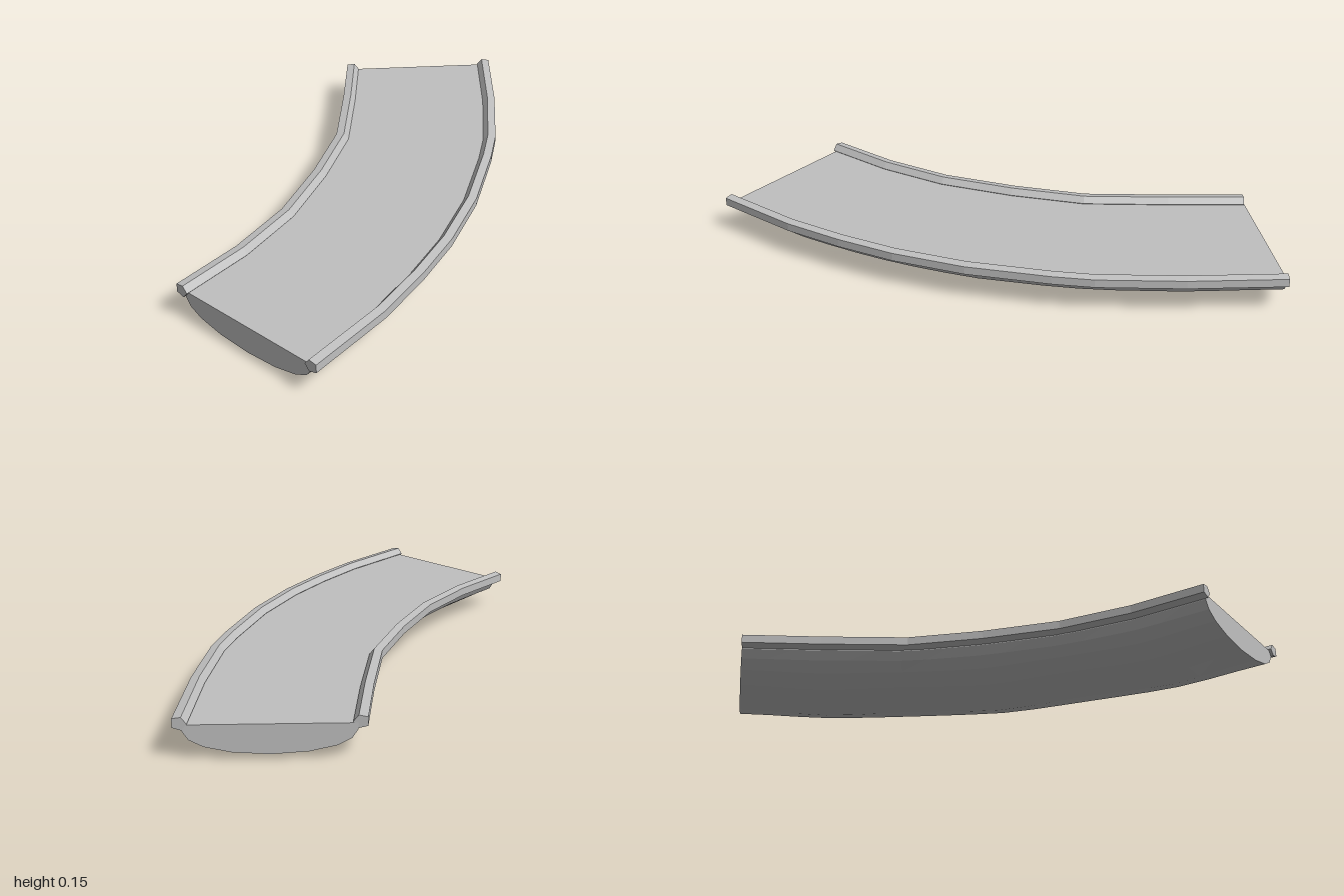
import * as THREE from 'three';

const grey = new THREE.MeshStandardMaterial({ color: 0xc0c0c0, flatShading: true });
grey.name = 'light grey';

// Centre lines of the two rails, as [x, z]
const innerLine = [[-1, 0.032], [-0.72, 0.023], [-0.45, -0.022], [-0.175, -0.12],
  [0.085, -0.24], [0.345, -0.435], [0.573, -0.617]];
const outerLine = [[-1, 0.606], [-0.665, 0.593], [-0.435, 0.558], [-0.215, 0.508],
  [0.045, 0.418], [0.325, 0.28], [0.455, 0.205], [0.71, 0.015], [0.981, -0.215]];

// Skin closed cross-sections into a capped solid
function loft(name, rings) {
  const pos = [];
  const tri = (...pts) => pts.forEach((p) => pos.push(p.x, p.y, p.z));
  const n = rings[0].length;
  for (let i = 0; i < rings.length - 1; i++) {
    for (let j = 0; j < n; j++) {
      const k = (j + 1) % n, r = rings[i], s = rings[i + 1];
      tri(r[j], r[k], s[j]);
      tri(r[k], s[k], s[j]);
    }
  }
  const first = rings[0], last = rings[rings.length - 1];
  for (let j = 1; j < n - 1; j++) {
    tri(first[0], first[j + 1], first[j]);
    tri(last[0], last[j], last[j + 1]);
  }
  const geo = new THREE.BufferGeometry();
  geo.setAttribute('position', new THREE.Float32BufferAttribute(pos, 3));
  geo.computeVertexNormals();
  const mesh = new THREE.Mesh(geo, grey);
  mesh.name = name;
  return mesh;
}

// Rail with a pointed inner side; side is +1 for the outer rail, -1 for the inner
function rail(name, line, side) {
  const section = [[-0.024, 0.125], [-0.006, 0.148], [0.024, 0.143], [0.024, 0.112], [-0.006, 0.103]];
  if (side < 0) section.reverse();
  const pts = line.map(([x, z]) => new THREE.Vector2(x, z));
  const rings = pts.map((p, i) => {
    const d = new THREE.Vector2();
    if (i === 0) d.set(1, 0);
    else {
      d.add(p.clone().sub(pts[i - 1]).normalize());
      if (i < pts.length - 1) d.add(pts[i + 1].clone().sub(p).normalize());
      d.normalize();
    }
    return section.map(([w, y]) => new THREE.Vector3(p.x - d.y * w * side, y, p.y + d.x * w * side));
  });
  return loft(name, rings);
}

function polyline(line) {
  const path = new THREE.CurvePath();
  for (let i = 1; i < line.length; i++) {
    path.add(new THREE.LineCurve(new THREE.Vector2(...line[i - 1]), new THREE.Vector2(...line[i])));
  }
  return path;
}

// Flat deck with a rounded, gently rippled belly
function deck() {
  const inner = polyline(innerLine), outer = polyline(outerLine);
  const half = [[1, 0.122, 0], [1, 0.1, 0], [0.965, 0.07, 0.1], [0.88, 0.045, 0.45], [0.72, 0.025, 0.8]];
  const section = [...half, [0.5, 0.017, 1], ...half.map(([t, y, k]) => [1 - t, y, k]).reverse()];
  const rings = [];
  const steps = 18;
  for (let i = 0; i <= steps; i++) {
    const u = i / steps;
    const a = inner.getPoint(u), b = outer.getPoint(u);
    if (i === 0) a.x = b.x = -0.99;
    const dip = 0.017 * Math.sin(3 * Math.PI * u) ** 2;
    rings.push(section.map(([t, y, k]) => {
      const s = 0.012 + t * 0.976;
      return new THREE.Vector3(a.x + (b.x - a.x) * s, y - dip * k, a.y + (b.y - a.y) * s);
    }));
  }
  return loft('deck', rings);
}

export function createModel() {
  const group = new THREE.Group();
  group.name = 'curvedWalkway';
  group.add(deck(), rail('innerRail', innerLine, -1), rail('outerRail', outerLine, 1));
  return group;
}
